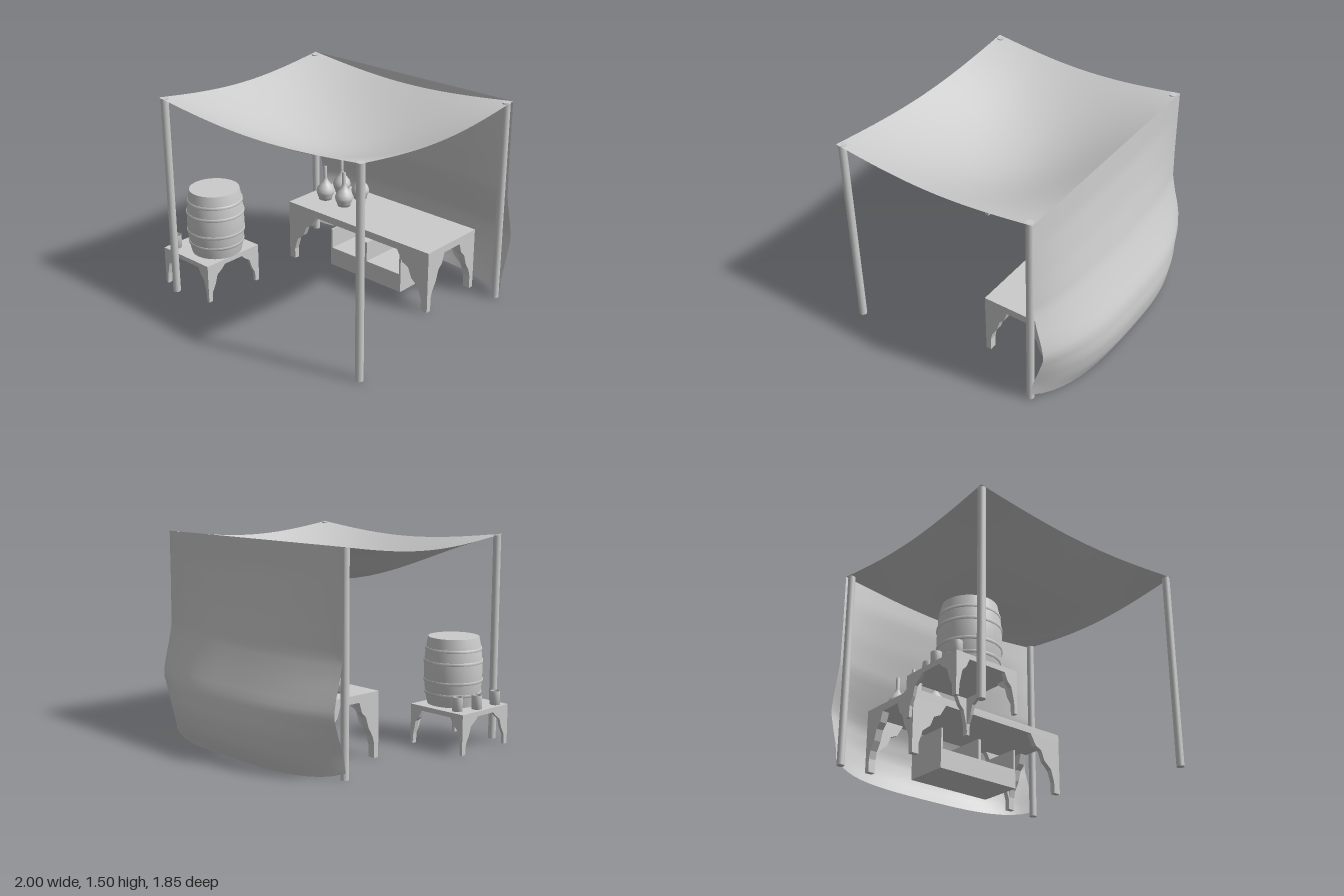
import * as THREE from 'three';

const grey = new THREE.MeshStandardMaterial({ color: 0xcccccc });
const cloth = new THREE.MeshStandardMaterial({ color: 0xcccccc, side: THREE.DoubleSide });

function add(parent, name, geometry, x = 0, y = 0, z = 0, material = grey) {
  const mesh = new THREE.Mesh(geometry, material);
  mesh.name = name;
  mesh.position.set(x, y, z);
  parent.add(mesh);
  return mesh;
}

// Box given by its min and max corners
function block(parent, name, [x0, y0, z0], [x1, y1, z1]) {
  return add(parent, name, new THREE.BoxGeometry(x1 - x0, y1 - y0, z1 - z0),
    (x0 + x1) / 2, (y0 + y1) / 2, (z0 + z1) / 2);
}

// Upright board cut by a scalloped arch; arch = right half, from the flat middle to the floor
function archPanel(halfWidth, height, arch, thickness) {
  const pts = [[-halfWidth, 0], ...arch.map(([x, y]) => [-x, y]).reverse(),
    ...arch, [halfWidth, 0], [halfWidth, height], [-halfWidth, height]];
  const shape = new THREE.Shape(pts.map(([x, y]) => new THREE.Vector2(x, y)));
  const g = new THREE.ExtrudeGeometry(shape, { depth: thickness, bevelEnabled: false });
  return g.translate(0, 0, -thickness / 2);
}

// Table of four arched boards under a flat top
function archedTable(name, halfX, halfZ, height, slab, archX, archZ, thickX, thickZ) {
  const group = new THREE.Group();
  group.name = name;
  const under = height - slab;
  block(group, name + 'Top', [-halfX, under, -halfZ], [halfX, height, halfZ]);
  const longBoard = archPanel(halfX, under + 0.002, archX, thickZ);
  const endBoard = archPanel(halfZ, under + 0.002, archZ, thickX).rotateY(Math.PI / 2);
  for (const s of [-1, 1]) {
    add(group, name + 'LongApron', longBoard, 0, 0, s * (halfZ - thickZ / 2));
    add(group, name + 'EndApron', endBoard, s * (halfX - thickX / 2), 0, 0);
  }
  return group;
}

// Grid of cloth, u and v running from -1 to 1
function sheet(nu, nv, point) {
  const g = new THREE.PlaneGeometry(2, 2, nu, nv);
  const p = g.attributes.position;
  for (let i = 0; i < p.count; i++) p.setXYZ(i, ...point(p.getX(i), p.getY(i)));
  g.computeVertexNormals();
  return g;
}

// Piecewise-linear lookup in rows of [key, ...values]
function sample(rows, key, column) {
  let i = 0;
  while (i < rows.length - 2 && key > rows[i + 1][0]) i++;
  const a = rows[i], b = rows[i + 1];
  return THREE.MathUtils.lerp(a[column], b[column], (key - a[0]) / (b[0] - a[0]));
}

const lathe = (pts, sides) =>
  new THREE.LatheGeometry(pts.map(([r, y]) => new THREE.Vector2(r, y)), sides);

export function createModel() {
  const model = new THREE.Group();
  model.name = 'marketStall';
  const midX = 0.065, halfX = 0.93, midZ = 0.1375, halfZ = 0.7875;

  // Corner poles
  const poleGeo = new THREE.CylinderGeometry(0.028, 0.028, 1.5, 16);
  for (const x of [-0.837, 0.968])
    for (const z of [-0.612, 0.898]) add(model, 'pole', poleGeo, x, 0.75, z);

  // Sagging canopy
  const bow = (t) => Math.cos(t * Math.PI / 2);
  add(model, 'canopy', sheet(24, 24, (u, v) => [
    midX + halfX * u,
    1.505 - 0.07 * (bow(u) + bow(v)) - 0.195 * bow(u) * bow(v),
    midZ - halfZ * v,
  ]), 0, 0, 0, cloth);

  // Billowing back cloth: height, z at the side edges, z in the middle
  const billow = [[0, -0.63, -0.835], [0.12, -0.645, -0.9], [0.27, -0.69, -0.925],
    [0.44, -0.735, -0.905], [0.55, -0.715, -0.855], [0.68, -0.68, -0.8], [0.8, -0.655, -0.755],
    [1.05, -0.65, -0.7], [1.3, -0.65, -0.66], [1.505, -0.65, -0.65]];
  add(model, 'backCloth', sheet(24, 32, (u, v) => {
    const h = (v + 1) / 2 * 1.505;
    const full = 1 - Math.abs(u) ** 3;
    const lift = 0.05 * u ** 8 * Math.max(0, 1 - h / 0.4);
    return [midX + halfX * u, h + lift,
      THREE.MathUtils.lerp(sample(billow, h, 1), sample(billow, h, 2), full)];
  }), 0, 0, 0, cloth);

  // Long serving table
  const table = archedTable('table', 0.685, 0.275, 0.47, 0.055,
    [[0.63, 0], [0.63, 0.08], [0.6, 0.176], [0.535, 0.23], [0.505, 0.304], [0.45, 0.33], [0.4, 0.415]].reverse(),
    [[0.237, 0], [0.237, 0.09], [0.22, 0.155], [0.18, 0.22], [0.155, 0.3], [0.115, 0.34], [0.09, 0.415]].reverse(),
    0.055, 0.04);
  table.position.set(0.065, 0, -0.355);
  model.add(table);

  // Barrel stand
  const stand = archedTable('stand', 0.242, 0.25, 0.29, 0.035,
    [[0.14, 0.255], [0.165, 0.2], [0.195, 0.17], [0.215, 0.08], [0.222, 0]],
    [[0.085, 0.255], [0.115, 0.225], [0.16, 0.195], [0.18, 0.13], [0.21, 0.075], [0.215, 0]],
    0.022, 0.032);
  stand.position.set(-0.758, 0, 0.613);
  model.add(stand);

  // Barrel with hoops
  const barrel = new THREE.Group();
  barrel.name = 'barrel';
  barrel.position.set(-0.696, 0.29, 0.61);
  model.add(barrel);
  const radius = (y) => 0.21 - 0.027 * ((y - 0.245) / 0.245) ** 2;
  const stave = Array.from({ length: 13 }, (_, i) => [radius(i * 0.49 / 12), i * 0.49 / 12]);
  add(barrel, 'barrelBody', lathe(stave, 32));
  const lid = new THREE.CircleGeometry(radius(0), 32);
  add(barrel, 'barrelLid', lid, 0, 0.49, 0).rotation.x = -Math.PI / 2;
  add(barrel, 'barrelBase', lid, 0, 0.001, 0).rotation.x = Math.PI / 2;
  for (const y of [0.085, 0.175, 0.315, 0.405]) {
    const a = y - 0.01, b = y + 0.01, t = 0.006;
    add(barrel, 'barrelHoop', lathe([[radius(a) - 0.002, a], [radius(a) + t, a],
      [radius(b) + t, b], [radius(b) - 0.002, b]], 32));
  }

  // Cups beside the barrel
  const cupGeo = lathe([[0, 0], [0.037, 0], [0.037, 0.1], [0.031, 0.1], [0.029, 0.02], [0, 0.02]], 16);
  for (const [x, z] of [[-0.89, 0.435], [-0.94, 0.585], [-0.94, 0.79]])
    add(model, 'cup', cupGeo, x, 0.29, z);

  // Long-necked bottles on the table
  const bottleGeo = lathe([[0, 0], [0.05, 0], [0.055, 0.02], [0.067, 0.05], [0.07, 0.07],
    [0.06, 0.1], [0.038, 0.13], [0.02, 0.155], [0.014, 0.18], [0.014, 0.27], [0, 0.27]], 20);
  for (const x of [-0.455, -0.26])
    for (const z of [-0.315, -0.505]) add(model, 'bottle', bottleGeo, x, 0.47, z);

  // Two-bay crate under the table
  const crate = new THREE.Group();
  crate.name = 'crate';
  model.add(crate);
  block(crate, 'crateBase', [-0.285, 0, -0.535], [0.41, 0.145, -0.195]);
  block(crate, 'crateBack', [-0.285, 0.145, -0.535], [0.41, 0.3, -0.52]);
  for (const [x0, x1] of [[-0.285, -0.27], [0.055, 0.08], [0.395, 0.41]])
    block(crate, 'crateDivider', [x0, 0.145, -0.52], [x1, 0.3, -0.195]);

  return model;
}
